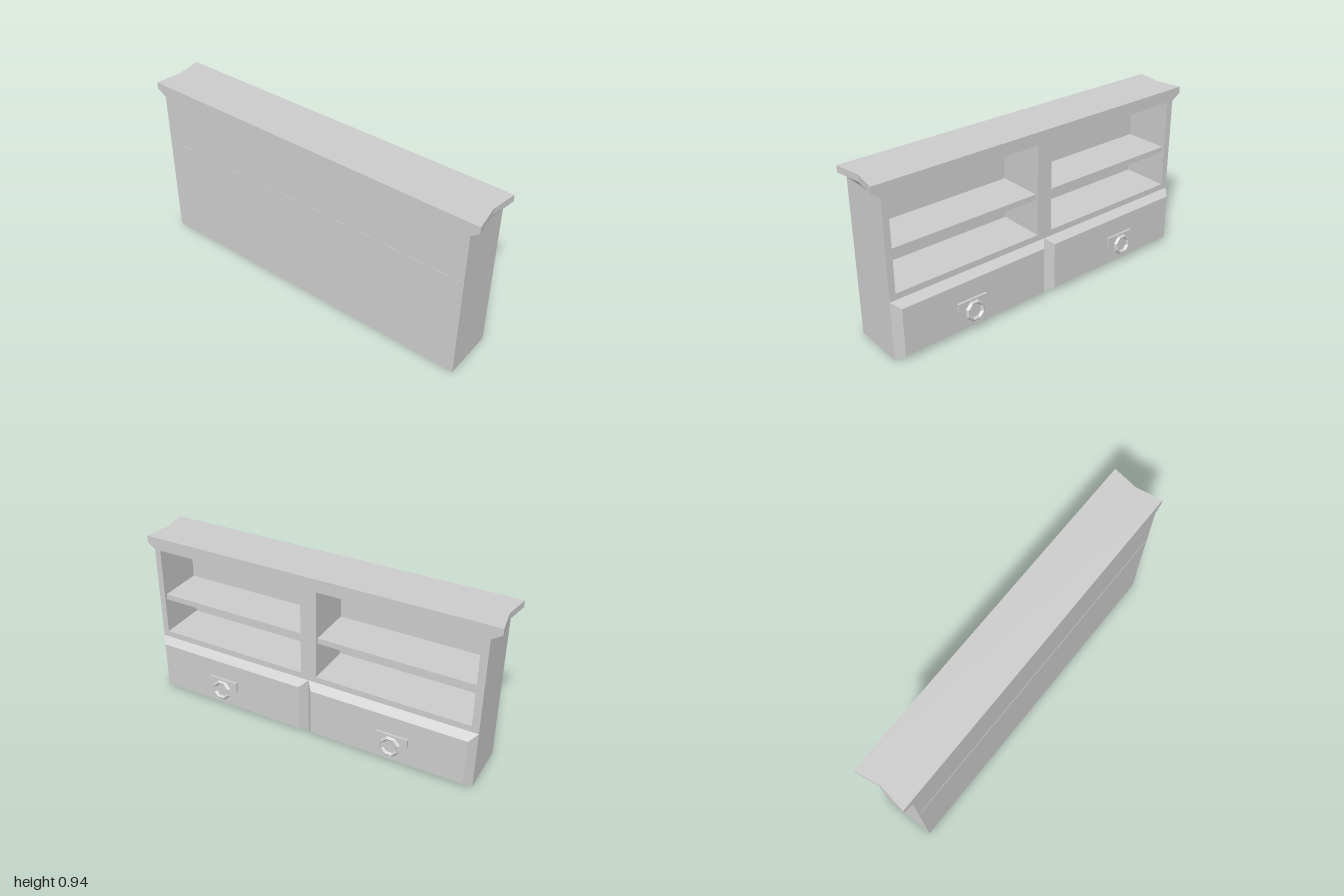
import * as THREE from 'three';

const mat = new THREE.MeshStandardMaterial({ color: 0xcccccc, flatShading: true, side: THREE.DoubleSide });

// Main extents: the cabinet opens toward +x
const BACK = -0.19, FRONT = 0.105, Z0 = -0.945, Z1 = 0.955;

function add(parent, name, geometry) {
  const mesh = new THREE.Mesh(geometry, mat);
  mesh.name = name;
  parent.add(mesh);
  return mesh;
}

// Box between two corners, leaving out faces (0 +x, 1 -x, 2 +y, 3 -y, 4 +z, 5 -z)
function box(x0, x1, y0, y1, z0, z1, omit = []) {
  const g = new THREE.BoxGeometry(x1 - x0, y1 - y0, z1 - z0);
  g.translate((x0 + x1) / 2, (y0 + y1) / 2, (z0 + z1) / 2);
  const index = Array.from(g.index.array);
  g.setIndex(index.filter((_, i) => !omit.includes(Math.floor(i / 6))));
  return g;
}

// Skin stacked rings of points (counter-clockwise seen from +y), with end caps
function loft(rings) {
  const n = rings[0].length, index = [];
  for (let r = 0; r < rings.length - 1; r++) {
    for (let i = 0; i < n; i++) {
      const a = r * n + i, b = r * n + (i + 1) % n;
      index.push(a, b, b + n, a, b + n, a + n);
    }
  }
  const last = (rings.length - 1) * n;
  const flat = rings[0].map(p => new THREE.Vector2(p[0], -p[2]));
  for (const [a, b, c] of THREE.ShapeUtils.triangulateShape(flat, [])) {
    index.push(a, c, b, last + a, last + b, last + c);
  }
  const g = new THREE.BufferGeometry();
  g.setAttribute('position', new THREE.Float32BufferAttribute(rings.flat(2), 3));
  g.setIndex(index);
  const out = g.toNonIndexed();
  out.computeVertexNormals();
  return out;
}

// Cornice ring: its ends dip inward at mid depth
function corniceRing(y, zMin, zMax, dip) {
  const mid = -0.04;
  return [
    [BACK, y, zMax], [mid, y, zMax - dip], [FRONT, y, zMax],
    [FRONT, y, zMin], [mid, y, zMin + dip], [BACK, y, zMin],
  ];
}

// Drawer front: rectangle tapering toward +x
function drawerFront(z0, z1) {
  const bevelY = 0.03, bevelZ = 0.037, top = 0.33;
  const g = box(FRONT, 0.15, 0, top, z0, z1);
  const p = g.attributes.position;
  for (let i = 0; i < p.count; i++) {
    if (p.getX(i) < 0.14) continue;
    p.setY(i, p.getY(i) > 0.1 ? top - bevelY : bevelY);
    p.setZ(i, p.getZ(i) > (z0 + z1) / 2 ? z1 - bevelZ : z0 + bevelZ);
  }
  g.computeVertexNormals();
  return g;
}

// Mounting plate with a tilted octagonal pull ring
function handle(z) {
  const group = new THREE.Group();
  group.name = 'drawerHandle';
  add(group, 'handlePlate', box(0.148, 0.163, 0.142, 0.196, z - 0.0875, z + 0.0875));
  const g = new THREE.TorusGeometry(0.048, 0.012, 4, 8);
  g.rotateZ(Math.PI / 8);
  g.rotateY(Math.PI / 2);
  const ring = add(group, 'pullRing', g);
  ring.rotation.z = 0.11;
  ring.position.set(0.178, 0.137, z);
  return group;
}

export function createModel() {
  const model = new THREE.Group();
  model.name = 'wallCabinet';
  const cavities = [[0.05, 0.92], [-0.905, -0.042]];
  const floor = 0.365, ceiling = 0.877;

  // Carcass: back and sides, open underneath
  add(model, 'carcass', box(BACK, FRONT, 0, 0.872, Z0, Z1, [0, 2, 3]));

  // Front frame with two openings (shape x runs along -z)
  const frame = new THREE.Shape([[-Z1, 0], [-Z0, 0], [-Z0, 0.88], [-Z1, 0.88]].map(p => new THREE.Vector2(...p)));
  for (const [a, b] of cavities) {
    frame.holes.push(new THREE.Path(
      [[-b, floor], [-b, ceiling], [-a, ceiling], [-a, floor]].map(p => new THREE.Vector2(...p))));
  }
  const frameGeometry = new THREE.ShapeGeometry(frame);
  frameGeometry.rotateY(Math.PI / 2);
  frameGeometry.translate(FRONT, 0, 0);
  add(model, 'frontFrame', frameGeometry);

  // Inside faces of the compartments
  for (const [a, b] of cavities) {
    add(model, 'compartment', box(-0.165, FRONT, floor, ceiling, a, b, [0]));
  }

  // One shelf board running through both compartments
  add(model, 'shelf', box(-0.192, 0.09, 0.565, 0.597, -0.925, 0.935));

  // Flared cornice
  add(model, 'cornice', loft([
    corniceRing(0.872, Z0, Z1, 0),
    corniceRing(0.907, -1, 1, 0.023),
    corniceRing(0.943, -1, 1, 0.023),
  ]));

  // Drawers and handles
  for (const [a, b, h] of [[0.005, Z1, 0.52], [Z0, 0.005, -0.512]]) {
    add(model, 'drawerFront', drawerFront(a, b));
    model.add(handle(h));
  }
  return model;
}
